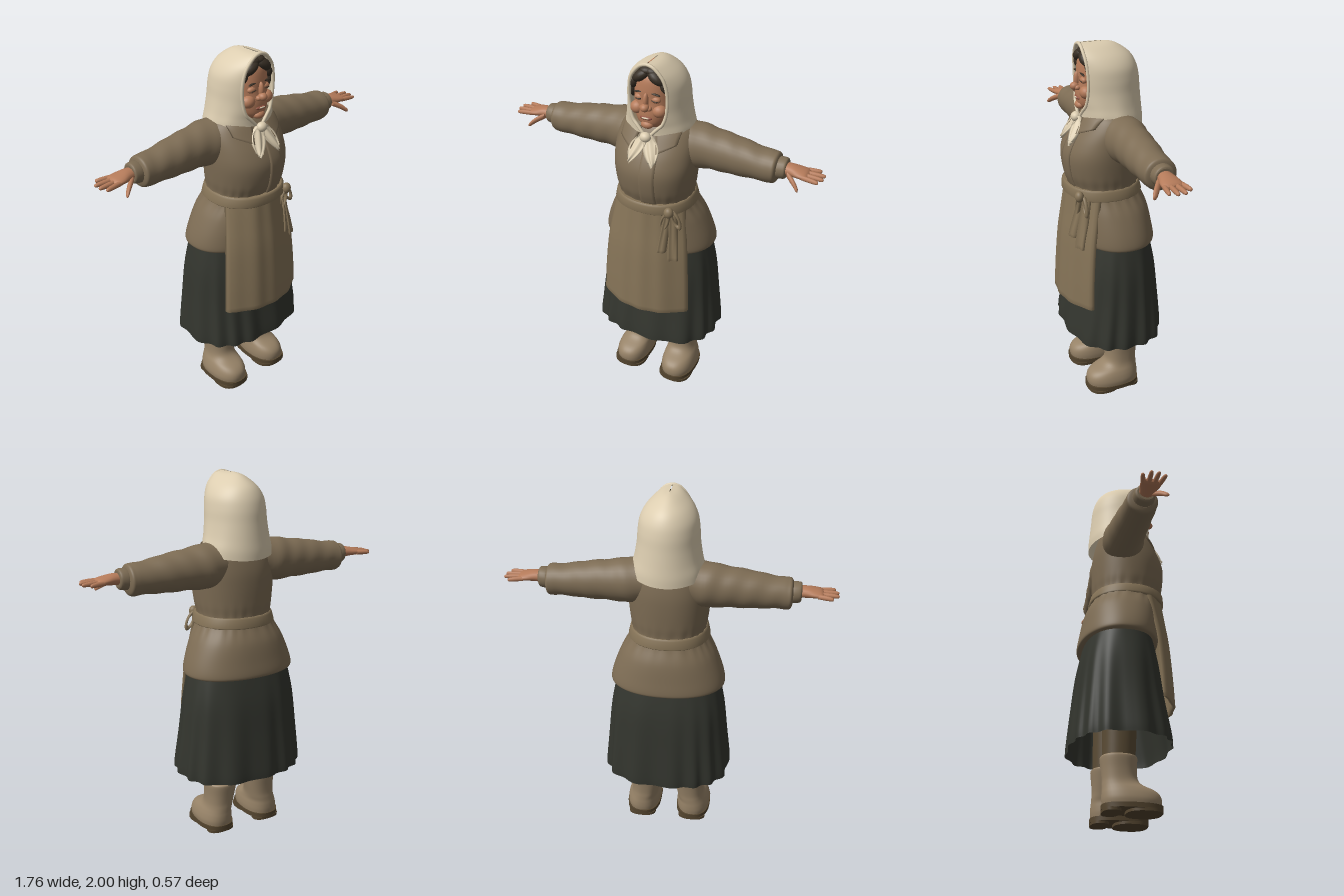
import * as THREE from 'three';
import { mergeGeometries } from 'three/addons/utils/BufferGeometryUtils.js';

const mat = (name, color) => new THREE.MeshStandardMaterial({ name, color });
const lerp = THREE.MathUtils.lerp;

// Catmull-Rom resampling of a table of cross-sections
function smooth(rows, k = 6) {
  const out = [], at = i => rows[Math.min(Math.max(i, 0), rows.length - 1)];
  for (let i = 0; i < rows.length - 1; i++) for (let s = 0; s < k; s++) {
    const t = s / k;
    out.push(rows[i].map((b, c) => {
      const a = at(i - 1)[c], d = at(i + 1)[c], e = at(i + 2)[c];
      return b + 0.5 * t * (d - a + t * (2 * a - 5 * b + 4 * d - e + t * (3 * (b - d) + e - a)));
    }));
  }
  out.push(rows[rows.length - 1]);
  return out;
}

// Row of a resampled table at height y
function rowAt(rows, y) {
  let i = 0;
  while (i < rows.length - 2 && rows[i + 1][0] < y) i++;
  const t = THREE.MathUtils.clamp((y - rows[i][0]) / (rows[i + 1][0] - rows[i][0]), 0, 1);
  return rows[i].map((v, c) => lerp(v, rows[i + 1][c], t));
}

// Surface through rings of points; optional fan caps
function loft(rings, { open = false, cap = true } = {}) {
  const n = rings[0].length, pos = rings.flat(2), idx = [];
  for (let i = 0; i < rings.length - 1; i++) for (let j = 0; j < (open ? n - 1 : n); j++) {
    const k = (j + 1) % n, a = i * n + j, b = a + n, c = i * n + k, d = c + n;
    idx.push(a, b, c, b, d, c);
  }
  if (cap && !open) for (const top of [false, true]) {
    const ring = rings[top ? rings.length - 1 : 0], base = pos.length / 3;
    pos.push(...ring.flat(), ...[0, 1, 2].map(c => ring.reduce((s, p) => s + p[c], 0) / n));
    for (let j = 0; j < n; j++) {
      const k = (j + 1) % n;
      idx.push(base + n, base + (top ? k : j), base + (top ? j : k));
    }
  }
  const g = new THREE.BufferGeometry();
  g.setAttribute('position', new THREE.Float32BufferAttribute(pos, 3));
  g.setIndex(idx);
  g.computeVertexNormals();
  return g;
}

// Horizontal superellipse ring
function ring(y, rx, zf, zb, { cx = 0, e = 2.2, n = 64, fold = () => 1 } = {}) {
  const pw = v => Math.sign(v) * Math.abs(v) ** (2 / e);
  return Array.from({ length: n }, (_, j) => {
    const a = j / n * Math.PI * 2, f = fold(a, y);
    return [cx + rx * f * pw(Math.cos(a)), y, (zf + zb) / 2 + (zf - zb) / 2 * f * pw(Math.sin(a))];
  });
}

// Limb along x from rows [x, y, ry, z, rz]
const limb = (rows, n = 20, k = 5, ripple = () => 1) => loft(smooth(rows, k).map(([x, y, ry, z, rz]) =>
  Array.from({ length: n }, (_, j) => {
    const a = j / n * Math.PI * 2, f = ripple(x, a);
    return [x, y + ry * f * Math.cos(a), z - rz * f * Math.sin(a)];
  })));

// Thin cloth panel with rounded edges; p(s, t), s from -1 to 1 along x, t upwards
function slab(p, nu, nv, th) {
  const rings = [];
  for (let i = -1; i <= nv + 1; i++) {
    const t = Math.min(Math.max(i / nv, 0), 1), d = i < 0 || i > nv ? 0 : th, r = [];
    for (let j = 0; j <= nu; j++) r.push(p(1 - 2 * j / nu, t));
    for (let j = nu; j >= 0; j--) { const [x, y, z] = p(1 - 2 * j / nu, t); r.push([x, y, z - d]); }
    if (d === 0) for (let j = 0; j <= nu; j++) { r[j][2] -= th / 2; r[2 * nu + 1 - j][2] -= th / 2; }
    rings.push(r);
  }
  return loft(rings, { cap: false });
}

const ball = (x, y, z, rx, ry, rz, tilt = 0) =>
  new THREE.SphereGeometry(1, 20, 14).scale(rx, ry, rz).rotateZ(tilt).translate(x, y, z);

function mirrored(g) {
  const m = g.clone().scale(-1, 1, 1), ix = m.index.array;
  for (let i = 0; i < ix.length; i += 3) [ix[i], ix[i + 1]] = [ix[i + 1], ix[i]];
  return m;
}

export function createModel() {
  const model = new THREE.Group();
  model.name = 'villageWoman';
  const jacketMat = mat('jacket brown', 0x7d6c54), apronMat = mat('apron tan', 0x857357);
  const skirtMat = mat('skirt charcoal', 0x33352e), bootMat = mat('boot tan', 0x968267);
  const soleMat = mat('sole brown', 0x54452f), stockingMat = mat('stocking brown', 0x5b4c35);
  const hairMat = mat('hair dark', 0x382f25), skinMat = mat('skin', 0xb57b5a);
  const scarfMat = mat('scarf cream', 0xdccdb0), lipMat = mat('lip red', 0x8f5140);
  skirtMat.side = scarfMat.side = THREE.DoubleSide;
  const add = (name, g, m) => { const o = new THREE.Mesh(g, m); o.name = name; model.add(o); };
  const both = (name, g, m) => { add(name + 'Left', g, m); add(name + 'Right', mirrored(g), m); };

  // Jacket, gathered at the waist: [y, rx, front z, back z]
  const jacket = smooth([[0.935, 0.295, 0.175, -0.225], [0.95, 0.315, 0.19, -0.24], [1.02, 0.3, 0.195, -0.23],
    [1.12, 0.26, 0.2, -0.21], [1.2, 0.215, 0.2, -0.175], [1.25, 0.2, 0.205, -0.16], [1.32, 0.21, 0.228, -0.165],
    [1.42, 0.22, 0.237, -0.168], [1.5, 0.222, 0.21, -0.165], [1.58, 0.215, 0.16, -0.15],
    [1.64, 0.18, 0.12, -0.13], [1.67, 0.1, 0.09, -0.1]]);
  const gather = (a, y) => 1 + 0.014 * Math.sin(22 * a + Math.sin(5 * a)) * Math.exp(-(((y - 1.23) / 0.07) ** 2));
  add('jacket', loft(jacket.map(r => ring(...r, { n: 96, fold: gather }))), jacketMat);
  const chestZ = (x, y) => {
    const [, rx, zf, zb] = rowAt(jacket, y);
    return (zf + zb) / 2 + (zf - zb) / 2 * Math.max(0, 1 - Math.abs(x / rx) ** 2.2) ** (1 / 2.2);
  };
  const drape = (x, y, lift) => [x, y, chestZ(x, y) + lift];
  add('placket', slab((s, t) => drape(0.037 + 0.04 * s, lerp(1.25, 1.58, t), 0.007), 6, 16, 0.012), jacketMat);
  both('collar', slab((s, t) => {
    const u = (s + 1) / 2;
    return drape(lerp(lerp(0.07, 0.155, u), lerp(0.04, 0.16, u), t), lerp(lerp(1.545, 1.585, u), 1.645, t), 0.016);
  }, 8, 8, 0.018), jacketMat);

  // Sleeves and cuffs
  both('sleeve', limb([[0.08, 1.54, 0.11, -0.02, 0.11], [0.2, 1.53, 0.12, -0.03, 0.115], [0.3, 1.525, 0.109, -0.032, 0.103],
    [0.42, 1.517, 0.1, -0.03, 0.096], [0.55, 1.508, 0.085, -0.027, 0.086], [0.61, 1.505, 0.083, -0.027, 0.085],
    [0.635, 1.506, 0.078, -0.027, 0.08], [0.645, 1.508, 0.055, -0.025, 0.055]], 32, 6,
    (x, a) => 1 + 0.016 * Math.sin(x * 55 + 2 * a)), jacketMat);
  both('cuff', limb([[0.63, 1.51, 0.054, -0.025, 0.056], [0.65, 1.512, 0.056, -0.025, 0.058],
    [0.68, 1.514, 0.053, -0.024, 0.054], [0.688, 1.515, 0.042, -0.022, 0.045]], 24), jacketMat);

  // Hands
  const hand = [limb([[0.66, 1.515, 0.03, -0.022, 0.034], [0.71, 1.517, 0.029, -0.02, 0.042],
    [0.75, 1.515, 0.024, -0.018, 0.052], [0.785, 1.512, 0.018, -0.018, 0.053], [0.8, 1.511, 0.008, -0.018, 0.04]])];
  const finger = (x0, y0, z0, x1, y1, z1, r) => limb([[x0, y0, r, z0, r], [lerp(x0, x1, 0.55), lerp(y0, y1, 0.45), r, lerp(z0, z1, 0.55), r],
    [lerp(x0, x1, 0.92), lerp(y0, y1, 0.92), r * 0.75, lerp(z0, z1, 0.92), r * 0.75], [x1, y1, r * 0.2, z1, r * 0.2]], 10, 4);
  [[-0.06, -0.078, 0.848], [-0.032, -0.04, 0.878], [-0.004, -0.002, 0.878], [0.022, 0.036, 0.862]]
    .forEach(([z0, z1, x1]) => hand.push(finger(0.77, 1.511, z0, x1, 1.508, z1, 0.0125)));
  hand.push(finger(0.7, 1.505, 0.012, 0.775, 1.458, 0.068, 0.016));
  both('hand', mergeGeometries(hand), skinMat);

  // Pleated skirt
  const pleat = (a, y) => 1 + 0.028 * Math.max(0, (0.96 - y) / 0.6) * Math.sin(15 * a + 1.5 * Math.sin(3 * a));
  const skirt = loft(smooth([[0.36, 0.352, 0.25, -0.28], [0.42, 0.35, 0.243, -0.278], [0.6, 0.333, 0.212, -0.262],
    [0.8, 0.314, 0.185, -0.24], [0.98, 0.28, 0.15, -0.2]], 5)
    .map(r => ring(...r, { n: 160, e: 2.45, fold: pleat })), { cap: false });
  add('skirt', skirt, skirtMat);

  // Apron wrapped round the front: [y, half width, middle z, edge z]
  const apron = smooth([[0.59, 0.257, 0.283, 0.182], [0.75, 0.25, 0.275, 0.176], [0.95, 0.235, 0.26, 0.16],
    [1.1, 0.215, 0.24, 0.135], [1.24, 0.195, 0.222, 0.11]]);
  const apronZ = (x, y) => {
    const [, w, zf, ze] = rowAt(apron, y), s = x / w;
    return ze + (zf - ze) * (1 - Math.abs(s) ** 2.2) + 0.003 * Math.sin(s * 13 + 1);
  };
  add('apron', slab((s, t) => {
    const y = lerp(0.59, 1.235, t), x = rowAt(apron, y)[1] * s;
    return [x, y, apronZ(x, y)];
  }, 36, 24, 0.018), apronMat);

  // Waist tie with bow and hanging ends
  add('belt', loft([[1.2, 0.216, 0.228, -0.178], [1.207, 0.222, 0.236, -0.184], [1.25, 0.212, 0.234, -0.174],
    [1.258, 0.203, 0.224, -0.166]].map(r => ring(...r))), apronMat);
  const loop = (x, y, z, tilt, w, h) => new THREE.TorusGeometry(1, 0.32, 10, 24).scale(w, h, 0.03).rotateZ(tilt).translate(x, y, z);
  add('bow', mergeGeometries([ball(0.15, 1.228, 0.205, 0.026, 0.03, 0.024),
    loop(0.128, 1.165, 0.205, -0.3, 0.018, 0.052), loop(0.183, 1.18, 0.185, 0.45, 0.018, 0.045)]), apronMat);
  const tie = (x0, x1, y1, w, lift) => slab((s, t) => {
    const x = lerp(x1, x0, t) + w * s * lerp(1, 0.6, t), y = lerp(y1, 1.22, t);
    return [x, y, apronZ(Math.min(x, 0.19), y) + lift + 0.003 * Math.sin(s * 4)];
  }, 6, 14, 0.012);
  add('tieEnds', mergeGeometries([tie(0.14, 0.125, 0.99, 0.02, 0.014), tie(0.16, 0.185, 0.94, 0.023, 0.02)]), apronMat);

  // Stockings, felt boots and soles: [y, rx, front z, back z, centre x]
  const stack = (rows, e) => loft(smooth(rows, 4).map(([y, rx, zf, zb, cx]) => ring(y, rx, zf, zb, { cx, e, n: 40 })));
  both('stocking', stack([[0.25, 0.08, 0.042, -0.125, 0.125], [0.4, 0.083, 0.05, -0.125, 0.125], [0.75, 0.09, 0.06, -0.13, 0.125]]), stockingMat);
  both('boot', stack([[0.03, 0.094, 0.168, -0.126, 0.15], [0.06, 0.097, 0.172, -0.13, 0.15], [0.09, 0.093, 0.165, -0.13, 0.148],
    [0.115, 0.086, 0.138, -0.128, 0.145], [0.14, 0.079, 0.08, -0.127, 0.139], [0.17, 0.078, 0.054, -0.126, 0.134],
    [0.22, 0.083, 0.05, -0.13, 0.129], [0.275, 0.09, 0.053, -0.136, 0.126], [0.288, 0.087, 0.05, -0.133, 0.125],
    [0.292, 0.078, 0.04, -0.124, 0.125]], 2.3), bootMat);
  const tread = (zf, zb, y0, y1, rx) => loft([ring(y0, rx, zf, zb, { cx: 0.15, e: 2.5, n: 40 }), ring(y1, rx, zf, zb, { cx: 0.15, e: 2.5, n: 40 })]);
  both('sole', mergeGeometries([tread(0.177, -0.133, 0.014, 0.038, 0.1), tread(0.174, -0.01, 0, 0.016, 0.097),
    tread(-0.035, -0.131, 0, 0.016, 0.08)]), soleMat);

  // Head and face
  add('head', loft(smooth([[1.58, 0.07, 0.08, -0.07], [1.64, 0.07, 0.1, -0.07], [1.665, 0.066, 0.14, -0.07],
    [1.69, 0.087, 0.156, -0.08], [1.74, 0.104, 0.16, -0.1], [1.8, 0.11, 0.153, -0.11], [1.86, 0.107, 0.153, -0.11],
    [1.92, 0.092, 0.14, -0.08], [1.96, 0.055, 0.1, -0.04]]).map(r => ring(...r, { n: 40 }))), skinMat);
  add('nose', mergeGeometries([ball(0, 1.778, 0.168, 0.023, 0.021, 0.025), ball(0, 1.812, 0.155, 0.014, 0.04, 0.018),
    ball(0.02, 1.772, 0.158, 0.013, 0.013, 0.016), ball(-0.02, 1.772, 0.158, 0.013, 0.013, 0.016)]), skinMat);
  add('chin', ball(0, 1.677, 0.142, 0.034, 0.022, 0.026), skinMat);
  both('cheek', ball(0.06, 1.755, 0.127, 0.038, 0.034, 0.035), skinMat);
  both('eyelid', ball(0.045, 1.816, 0.136, 0.026, 0.018, 0.018), skinMat);
  both('eye', ball(0.045, 1.813, 0.151, 0.018, 0.003, 0.005, -0.1), hairMat);
  both('brow', ball(0.046, 1.848, 0.144, 0.028, 0.005, 0.008, -0.15), hairMat);
  add('mouth', ball(0, 1.718, 0.155, 0.034, 0.01, 0.013), lipMat);
  add('teeth', ball(0, 1.72, 0.166, 0.02, 0.004, 0.0045), scarfMat);

  // Hair parted in the middle
  both('hair', mergeGeometries([ball(0.042, 1.925, 0.112, 0.056, 0.032, 0.046, -0.55), ball(0.083, 1.885, 0.1, 0.028, 0.042, 0.042, 0.3),
    ball(0.099, 1.835, 0.088, 0.016, 0.045, 0.034), ball(0.015, 1.953, 0.1, 0.045, 0.024, 0.045)]), hairMat);

  // Headscarf: [y, half width, half opening, front z, back z, drop at the back]
  const scarf = smooth([[1.625, 0.19, 0.02, 0.15, -0.19, 0.06], [1.66, 0.186, 0.05, 0.147, -0.19, 0.05],
    [1.7, 0.174, 0.085, 0.14, -0.185, 0.03], [1.76, 0.163, 0.1, 0.135, -0.178, 0.01], [1.82, 0.158, 0.105, 0.135, -0.172, 0],
    [1.88, 0.147, 0.1, 0.138, -0.157, 0], [1.93, 0.118, 0.085, 0.142, -0.127, 0], [1.97, 0.075, 0.055, 0.146, -0.075, 0],
    [1.99, 0.04, 0.03, 0.147, -0.03, 0], [1.997, 0.003, 0.002, 0.147, 0.02, 0]], 5).map(([y, w, o, zf, zb, drop]) => {
    const A = Math.PI - Math.asin(o / w), d = (zf - zb) / (1 - Math.cos(A));
    return Array.from({ length: 49 }, (_, j) => {
      const a = A * (j / 24 - 1), f = 1 + 0.25 * drop * Math.sin(9 * a) * Math.sin(a);
      return [w * f * Math.sin(a), y - drop * (1 + Math.cos(a)) / 2, zb + d - d * Math.cos(a)];
    });
  });
  add('headscarf', loft(scarf, { open: true }), scarfMat);
  const rim = scarf.filter((_, i) => i % 3 === 0), v3 = p => new THREE.Vector3(p[0], p[1] - 0.004, p[2] - 0.003);
  add('scarfRim', new THREE.TubeGeometry(new THREE.CatmullRomCurve3(
    [...rim.map(r => v3(r[0])), ...rim.map(r => v3(r[48])).reverse()]), 90, 0.009, 8), scarfMat);
  add('scarfKnot', ball(0, 1.615, 0.165, 0.03, 0.026, 0.026), scarfMat);
  both('scarfTail', slab((s, t) => {
    const w = 0.004 + 0.034 * Math.sin(Math.PI * Math.min(1, t * 0.85 + 0.02));
    const x = lerp(0.07, 0.012, t) + w * s, y = lerp(1.495, 1.625, t) + 0.012 * s * (1 - t);
    return [x, y, Math.max(chestZ(x, y) + 0.02, 0.165) + 0.006 * Math.cos(s * 5)];
  }, 12, 12, 0.014), scarfMat);

  return model;
}
